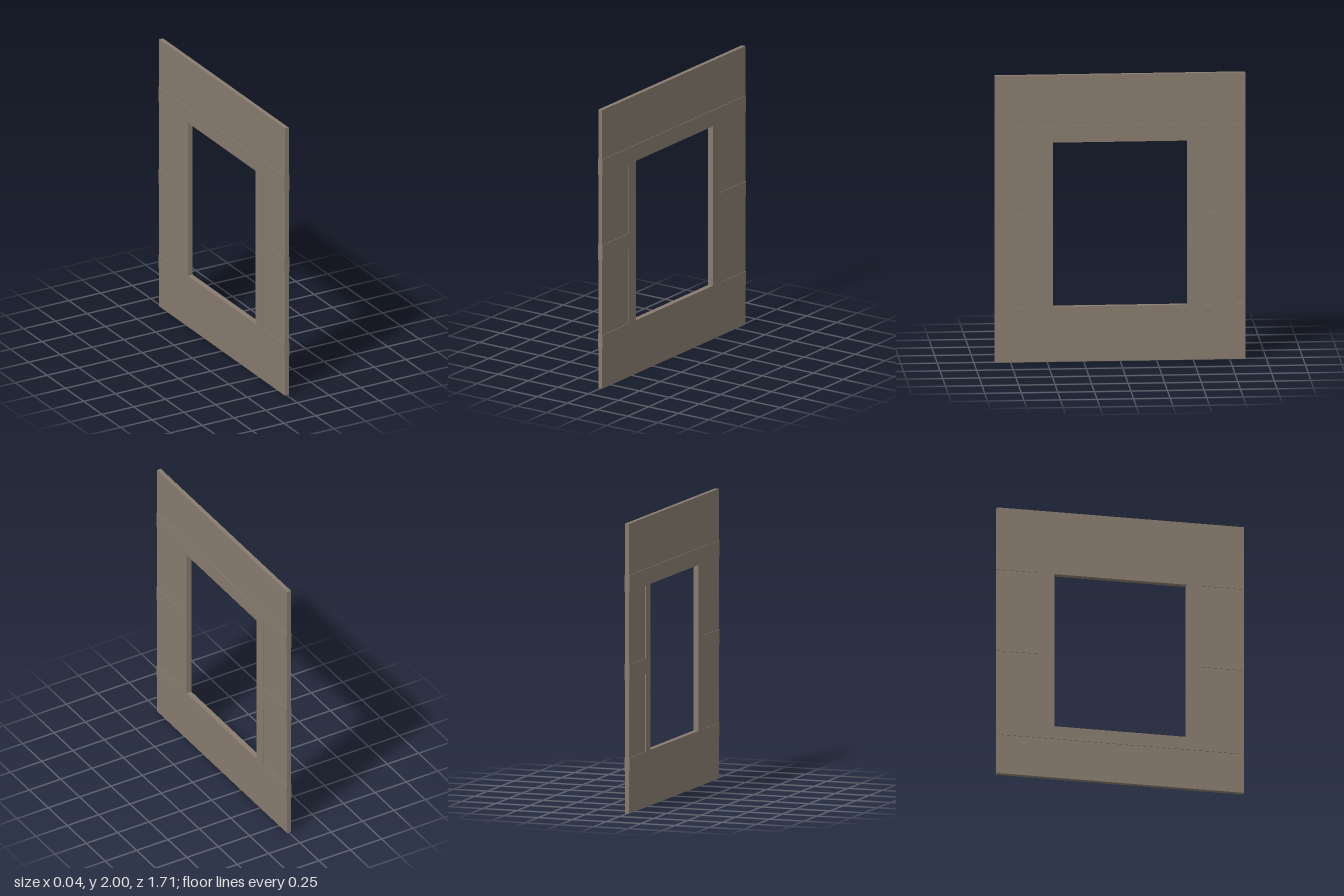
import * as THREE from 'three';

const HALF = 0.857, HEIGHT = 2, WALL = 0.03, TRIM = 0.004;
const OPEN = { half: 0.46, bottom: 0.385, top: 1.53 };

// Extrude an outline through the wall's thickness (x), centred on x
function slab(name, points, depth, x, material) {
  const shape = new THREE.Shape(points.map(([z, y]) => new THREE.Vector2(z, y)));
  const hole = [[-1, OPEN.bottom], [-1, OPEN.top], [1, OPEN.top], [1, OPEN.bottom]];
  shape.holes.push(new THREE.Path(hole.map(([s, y]) => new THREE.Vector2(s * OPEN.half, y))));
  const geometry = new THREE.ExtrudeGeometry(shape, { depth, bevelEnabled: false });
  geometry.translate(0, 0, -depth / 2).rotateY(Math.PI / 2);
  const mesh = new THREE.Mesh(geometry, material);
  mesh.name = name;
  mesh.position.x = x;
  return mesh;
}

export function createModel() {
  const group = new THREE.Group();
  group.name = 'windowWall';
  const plaster = new THREE.MeshStandardMaterial({ color: 0x877b6e });
  plaster.name = 'taupe';

  // Wall panel with window opening
  const wall = [[-HALF, 0], [HALF, 0], [HALF, HEIGHT], [-HALF, HEIGHT]];
  group.add(slab('wallPanel', wall, WALL, 0, plaster));

  // Raised trim: sill rail, posts, short middle rails and head rail
  const post = 0.55;
  const side = [
    [HALF, 0.29], [HALF, OPEN.bottom], [post, OPEN.bottom], [post, 0.92], [HALF, 0.92],
    [HALF, 1.03], [post, 1.03], [post, OPEN.top], [HALF, OPEN.top], [HALF, 1.645],
  ];
  const trim = [...side, ...side.map(([z, y]) => [-z, y]).reverse()];
  for (const s of [1, -1]) {
    group.add(slab(s > 0 ? 'leftTrim' : 'rightTrim', trim, TRIM, s * (WALL + TRIM) / 2, plaster));
  }
  return group;
}
